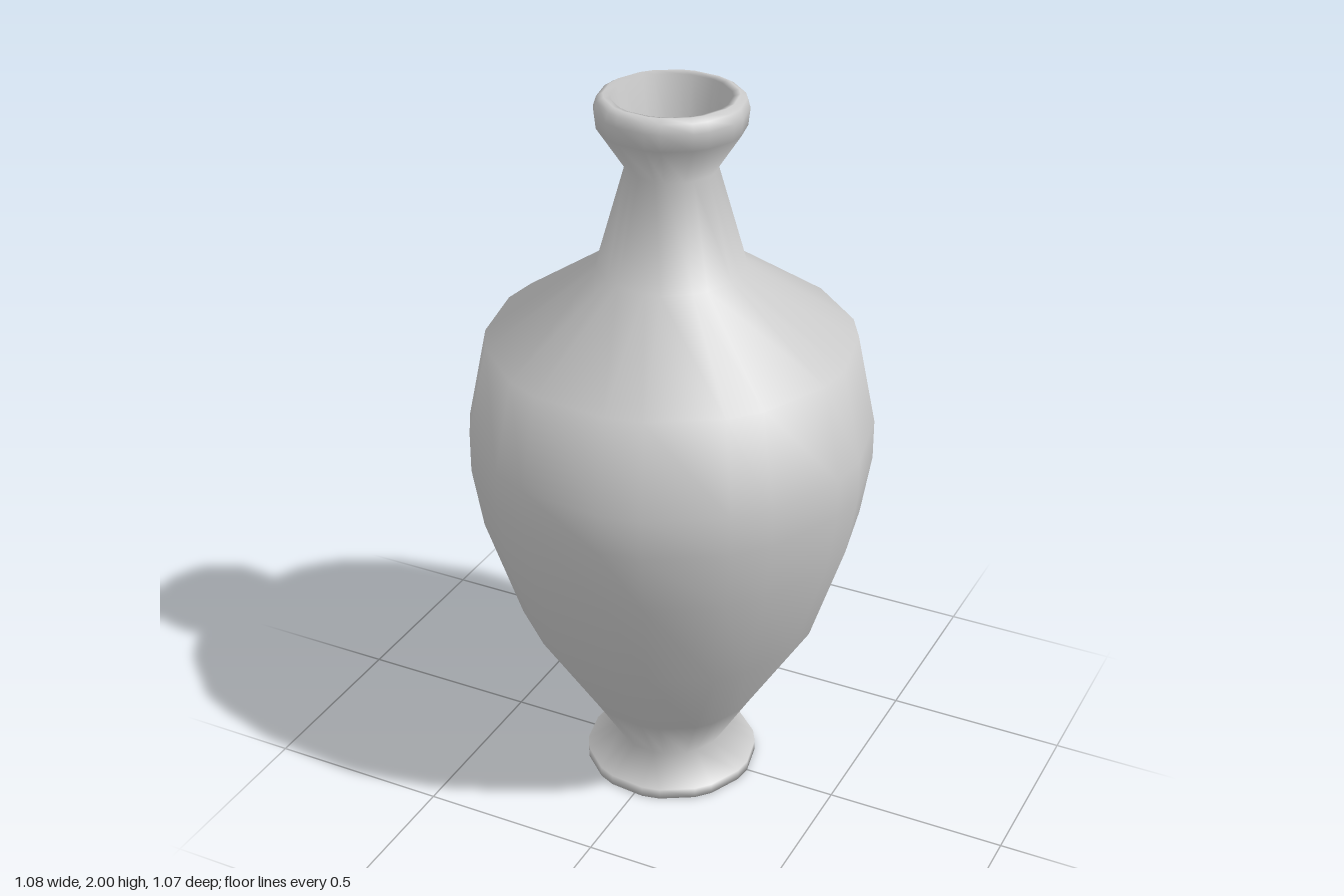
import * as THREE from 'three';

// Outer wall from the base centre up to the lip, then down into the throat: [radius, height]
const PROFILE = [
  [0, 0], [0.24, 0], [0.24, 0.03], [0.15, 0.09],
  [0.24, 0.24], [0.415, 0.52], [0.51, 0.81], [0.538, 0.98], [0.538, 1.09], [0.487, 1.34],
  [0.195, 1.54], [0.118, 1.81],
  [0.19, 1.92], [0.195, 1.965], [0.187, 1.99], [0.17, 2],
  [0.152, 1.995], [0.116, 1.81],
];
const SIDES = 20;

// Lathe whose sides alternate between narrow (12 degrees) and wide (24 degrees)
function unevenLathe(profile) {
  const points = profile.map(([r, y]) => new THREE.Vector2(r, y));
  const geometry = new THREE.LatheGeometry(points, SIDES);
  const { position, normal } = geometry.attributes;
  const up = new THREE.Vector3(0, 1, 0);
  const v = new THREE.Vector3();
  for (let i = 0; i < position.count; i++) {
    const column = Math.floor(i / points.length);
    const turn = THREE.MathUtils.degToRad(column % 2 ? 0 : 6);
    for (const attribute of [position, normal]) {
      v.fromBufferAttribute(attribute, i).applyAxisAngle(up, turn);
      attribute.setXYZ(i, v.x, v.y, v.z);
    }
  }
  return geometry;
}

export function createModel() {
  const group = new THREE.Group();
  group.name = 'vase';
  // Foot, belly, shoulder, neck and lip form one smooth thin wall
  const wall = new THREE.Mesh(
    unevenLathe(PROFILE),
    new THREE.MeshStandardMaterial({ color: 0xcccccc, side: THREE.DoubleSide }),
  );
  wall.name = 'vaseWall';
  group.add(wall);
  return group;
}
